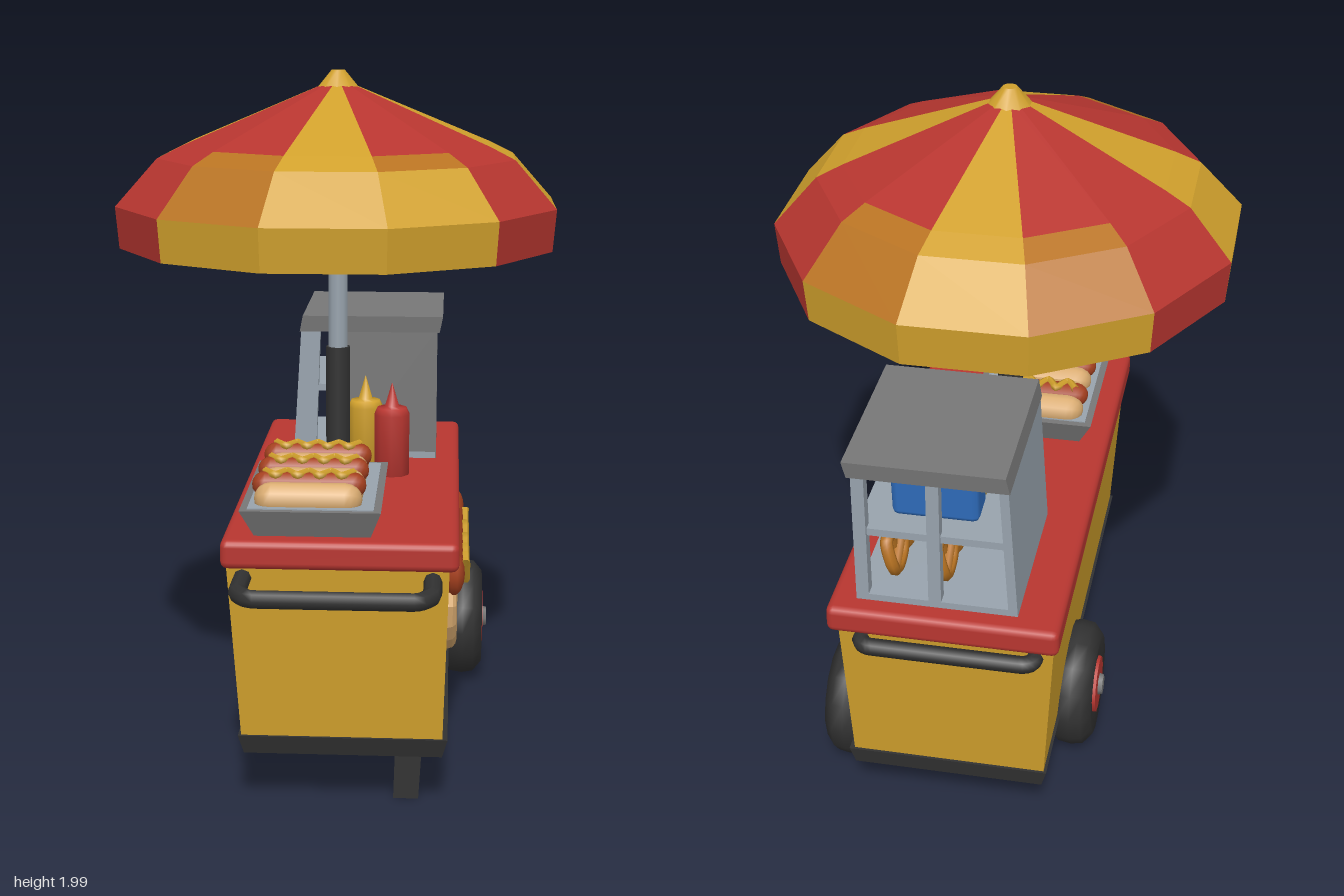
import * as THREE from 'three';
import { RoundedBoxGeometry } from 'three/addons/geometries/RoundedBoxGeometry.js';

const mat = (name, color, opts = {}) => {
  const m = new THREE.MeshStandardMaterial({ color, ...opts });
  m.name = name;
  return m;
};

export function createModel() {
  const M = {
    yellow: mat('yellow', 0xd0a02c, { side: THREE.DoubleSide }),
    red: mat('red', 0xb83630, { side: THREE.DoubleSide }),
    orange: mat('orange', 0xb87322, { side: THREE.DoubleSide }),
    dark: mat('charcoal', 0x323232),
    steel: mat('pale steel', 0x98a3ad),
    grey: mat('grey', 0x777777),
    tan: mat('bun tan', 0xd9ab70),
    sausage: mat('sausage brown', 0xa5401f),
    blue: mat('blue', 0x2f6dbd),
  };
  const root = new THREE.Group();
  root.name = 'foodCart';

  const add = (name, geo, material, pos = [0, 0, 0], parent = root) => {
    const mesh = new THREE.Mesh(geo, material);
    mesh.name = name;
    mesh.position.set(...pos);
    parent.add(mesh);
    return mesh;
  };
  // box given by its min and max corners
  const block = (name, a, b, material, parent) => add(name,
    new THREE.BoxGeometry(b[0] - a[0], b[1] - a[1], b[2] - a[2]), material,
    a.map((v, i) => (v + b[i]) / 2), parent);
  // box whose bottom and top rectangles [x0, x1, z0, z1] differ
  const taper = (y0, y1, bottom, top) => {
    const g = new THREE.BoxGeometry(1, 1, 1), p = g.attributes.position;
    for (let i = 0; i < p.count; i++) {
      const up = p.getY(i) > 0, r = up ? top : bottom;
      p.setXYZ(i, r[p.getX(i) > 0 ? 1 : 0], up ? y1 : y0, r[p.getZ(i) > 0 ? 3 : 2]);
    }
    g.computeVertexNormals();
    return g;
  };
  const tube = (pts, radius, steps = 32, sides = 7, tension = 0.5) => new THREE.TubeGeometry(
    new THREE.CatmullRomCurve3(pts.map(p => new THREE.Vector3(...p)), false, 'catmullrom', tension),
    steps, radius, sides);

  // cart body
  add('body', taper(0.2, 0.74, [-0.23, 0.32, -0.75, 0.615], [-0.265, 0.335, -0.8, 0.65]), M.yellow);
  add('base', taper(0.17, 0.225, [-0.225, 0.32, -0.75, 0.61], [-0.24, 0.335, -0.76, 0.625]), M.dark);
  add('counter', new RoundedBoxGeometry(0.64, 0.08, 1.49, 2, 0.02), M.red, [0.04, 0.75, -0.085]);

  // push handles
  add('frontHandle', tube([[-0.22, 0.685, 0.62], [-0.22, 0.685, 0.77], [-0.18, 0.685, 0.825],
    [0.25, 0.685, 0.825], [0.29, 0.685, 0.77], [0.29, 0.685, 0.62]], 0.025, 50, 8, 0.1), M.dark);
  add('backHandle', tube([[-0.21, 0.675, -0.76], [-0.21, 0.675, -0.81], [-0.18, 0.675, -0.828],
    [0.24, 0.675, -0.828], [0.27, 0.675, -0.81], [0.27, 0.675, -0.76]], 0.024, 50, 8, 0.1), M.dark);

  // legs
  for (const z of [0.5, -0.5]) {
    add('leg', taper(0.015, 0.19, [0.185, 0.255, z - 0.04, z + 0.04], [0.19, 0.265, z - 0.05, z + 0.04]), M.dark);
  }

  // wheels, hubs facing outward
  const tyreProfile = [[0.001, -0.065], [0.15, -0.065], [0.182, -0.04], [0.188, 0], [0.182, 0.035],
    [0.15, 0.062], [0.095, 0.056], [0.001, 0.056]].map(p => new THREE.Vector2(...p));
  const wheel = (name, x, z, side) => {
    const g = new THREE.Group();
    g.name = name;
    add('tyre', new THREE.LatheGeometry(tyreProfile, 14), M.dark, [0, 0, 0], g);
    add('hub', new THREE.CylinderGeometry(0.085, 0.092, 0.03, 12), M.red, [0, 0.05, 0], g);
    add('hubCap', new THREE.CylinderGeometry(0.03, 0.038, 0.03, 6), M.grey, [0, 0.063, 0], g);
    add('axle', new THREE.CylinderGeometry(0.04, 0.04, 0.16, 8), M.dark, [0, -0.1, 0], g);
    g.rotation.z = -side * Math.PI / 2;
    g.position.set(x, 0.205, z);
    root.add(g);
  };
  wheel('leftWheel', 0.38, -0.49, 1);
  wheel('rightWheel', -0.265, -0.33, -1);

  // raised hot dog on the side panel, drawn as (u = -z, y)
  const bun = new THREE.Shape();
  bun.moveTo(-0.19, 0.63);
  bun.quadraticCurveTo(0.11, 0.57, 0.42, 0.63);
  bun.bezierCurveTo(0.43, 0.58, 0.45, 0.53, 0.47, 0.46);
  bun.bezierCurveTo(0.42, 0.36, 0.28, 0.315, 0.12, 0.315);
  bun.bezierCurveTo(-0.06, 0.315, -0.26, 0.34, -0.26, 0.49);
  bun.closePath();
  const bunGeo = new THREE.ExtrudeGeometry(bun, { depth: 0.005, bevelThickness: 0.025, bevelSize: 0.03,
    bevelSegments: 3, curveSegments: 8 }).rotateY(Math.PI / 2);
  add('panelBun', bunGeo, M.tan, [0.328, 0, 0]);
  const sign = new THREE.Group();
  sign.name = 'panelSausage';
  sign.position.x = 0.348;
  sign.scale.x = 0.5;
  root.add(sign);
  const arc = u => 0.525 + 0.42 * (u - 0.12) ** 2;
  const arcPts = [];
  for (let i = 0; i <= 8; i++) arcPts.push([0, arc(-0.25 + i * 0.0912), 0.25 - i * 0.0912]);
  add('sausageTube', tube(arcPts, 0.062, 24, 10), M.sausage, [0, 0, 0], sign);
  for (const p of [arcPts[0], arcPts[8]]) add('sausageEnd', new THREE.SphereGeometry(0.062, 10, 8), M.sausage, p, sign);
  const zig = [];
  for (let i = 0; i <= 12; i++) {
    const u = -0.18 + i * 0.05;
    zig.push([0.392 - 0.01, arc(u) + (i % 2 ? -0.028 : 0.03), -u]);
  }
  add('panelMustard', tube(zig, 0.013, 72, 6, 0.1), M.yellow);

  // tray with three hot dogs
  add('tray', taper(0.785, 0.865, [-0.19, 0.12, 0.1, 0.6], [-0.23, 0.15, 0.07, 0.63]), M.grey);
  add('trayInside', taper(0.86, 0.868, [-0.21, 0.13, 0.09, 0.61], [-0.21, 0.13, 0.09, 0.61]), M.steel);
  const lying = (r, len) => new THREE.CapsuleGeometry(r, len, 4, 9).rotateZ(Math.PI / 2);
  for (const z of [0.51, 0.345, 0.175]) {
    const g = new THREE.Group();
    g.name = 'hotDog';
    g.position.set(-0.05, 0.88, z);
    for (const s of [-1, 1]) add('bunHalf', lying(0.047, 0.2), M.tan, [0, 0, s * 0.038], g);
    add('sausage', lying(0.036, 0.24), M.sausage, [0, 0.03, 0], g);
    const pts = [];
    for (let i = 0; i <= 8; i++) pts.push([-0.12 + i * 0.03, 0.061, i % 2 ? 0.022 : -0.022]);
    add('mustard', tube(pts, 0.012, 40, 6, 0.2), M.yellow, [0, 0, 0], g);
    root.add(g);
  }

  // squeeze bottles
  const bottleProfile = [[0.001, 0], [0.055, 0], [0.055, 0.19], [0.045, 0.21], [0.022, 0.215], [0.001, 0.285]]
    .map(p => new THREE.Vector2(...p));
  add('redBottle', new THREE.LatheGeometry(bottleProfile, 10), M.red, [0.155, 0.785, -0.095]);
  add('yellowBottle', new THREE.LatheGeometry(bottleProfile, 10), M.yellow, [0.07, 0.785, -0.2]);

  // display cabinet, open at the back and on the counter side
  const cabinet = new THREE.Group();
  cabinet.name = 'displayCabinet';
  root.add(cabinet);
  add('roof', taper(1.19, 1.24, [-0.14, 0.295, -0.775, -0.29], [-0.13, 0.305, -0.78, -0.285]), M.grey, [0, 0, 0], cabinet);
  block('floor', [-0.15, 0.785, -0.77], [0.285, 0.81, -0.29], M.steel, cabinet);
  block('shelf', [-0.14, 1.0, -0.76], [0.28, 1.022, -0.3], M.steel, cabinet);
  block('frontWall', [0.0, 0.79, -0.315], [0.288, 1.2, -0.29], M.grey, cabinet);
  add('sideWall', taper(0.79, 1.2, [-0.16, -0.135, -0.77, -0.29], [-0.135, -0.11, -0.77, -0.29]), M.steel, [0, 0, 0], cabinet);
  add('frontPost', taper(0.79, 1.2, [-0.16, -0.09, -0.32, -0.29], [-0.135, -0.075, -0.32, -0.29]), M.steel, [0, 0, 0], cabinet);
  for (const [x, z] of [[0.25, -0.77], [0.05, -0.77], [0.25, -0.335]]) {
    block('post', [x, 0.79, z], [x + 0.035, 1.2, z + 0.035], M.steel, cabinet);
  }

  // packets on the upper shelf
  [[M.red, -0.4], [M.yellow, -0.52], [M.blue, -0.64]].forEach(([m, z], i) => {
    const p = add('packet', new RoundedBoxGeometry(0.24, 0.155, 0.105, 1, 0.018), m, [0.08, 1.1, z], cabinet);
    p.rotation.x = [-0.06, 0.05, -0.08][i];
  });

  // pretzels on the lower shelf
  const knot = [[-0.3, -0.4], [0, 0], [0.3, 0.45], [0.6, 0.3], [0.5, -0.25], [0, -0.5],
    [-0.5, -0.25], [-0.6, 0.3], [-0.3, 0.45], [0, 0], [0.3, -0.4]];
  const pretzelGeo = tube(knot.map(([u, v], i) => [i < 4 ? 0.012 : -0.004, v * 0.115, -u * 0.115]), 0.018, 60, 7);
  for (const x of [0.2, 0.06]) {
    [-0.39, -0.52, -0.65].forEach((z, i) => {
      const p = add('pretzel', pretzelGeo, M.orange, [x, 0.882, z], cabinet);
      p.rotation.x = (i - 1) * 0.3;
    });
  }

  // umbrella pole
  const cx = -0.005, cz = -0.045;
  add('lowerPole', new THREE.CylinderGeometry(0.037, 0.037, 0.42, 10), M.dark, [cx, 0.98, cz]);
  add('upperPole', new THREE.CylinderGeometry(0.029, 0.029, 0.75, 10), M.steel, [cx, 1.56, cz]);

  // twelve-sided canopy, striped by sector, rings as [radius, height]
  const rings = [[0.03, 1.965], [0.44, 1.79], [0.51, 1.755], [0.628, 1.62], [0.618, 1.5]];
  const point = (ring, k) => {
    const a = (k - 0.5) * Math.PI / 6, r = rings[ring][0] / Math.cos(Math.PI / 12);
    return [r * Math.cos(a), rings[ring][1], r * 1.045 * Math.sin(a)];
  };
  const stripes = { yellow: [], red: [], orange: [] };
  for (let i = 0; i < 12; i++) {
    const besideFront = [2, 4, 8, 10].includes(i);
    for (let j = 0; j < 4; j++) {
      let c = i % 3 === 0 ? 'yellow' : 'red';
      if (besideFront && j === 3) c = 'yellow';
      else if (besideFront && j > 0) c = j === 2 && i === 2 ? 'yellow' : 'orange';
      const a = point(j, i), b = point(j, i + 1), d = point(j + 1, i), e = point(j + 1, i + 1);
      stripes[c].push(...a, ...b, ...d, ...b, ...e, ...d);
    }
  }
  for (const [c, verts] of Object.entries(stripes)) {
    const g = new THREE.BufferGeometry();
    g.setAttribute('position', new THREE.Float32BufferAttribute(verts, 3));
    g.computeVertexNormals();
    add(c + 'Canopy', g, M[c], [cx, 0, cz]);
  }
  add('canopyKnob', new THREE.CylinderGeometry(0.02, 0.075, 0.065, 10), M.yellow, [cx, 1.9675, cz]);

  return root;
}
